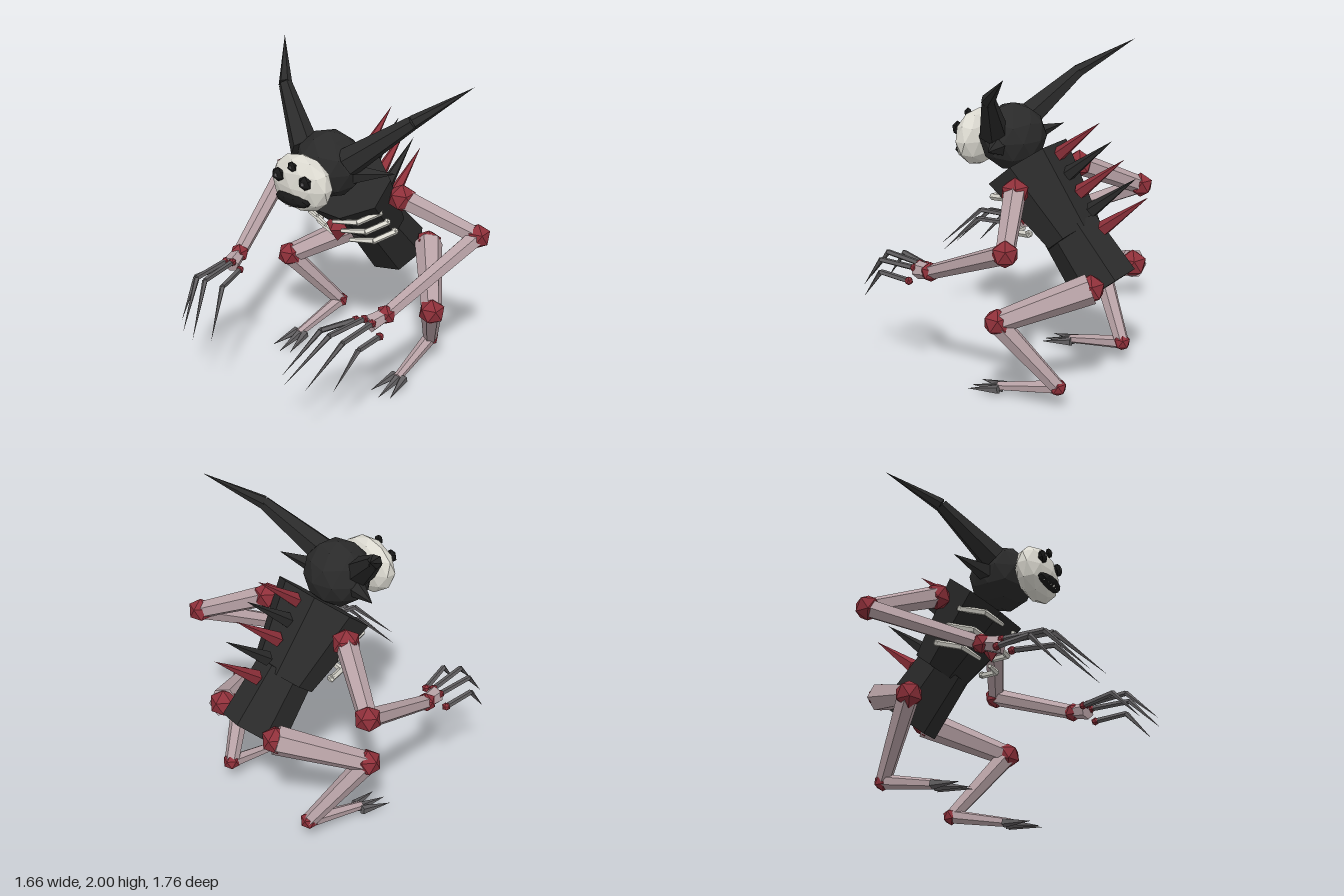
import * as THREE from 'three';

const mat = (name, color) => {
  const m = new THREE.MeshStandardMaterial({ color, flatShading: true });
  m.name = name;
  return m;
};
const V = (p) => new THREE.Vector3(...p);

export function createModel() {
  const black = mat('black hide', 0x2a2a2a);
  const dark = mat('eye black', 0x181818);
  const red = mat('red joint', 0x8f303a);
  const pink = mat('pale limb', 0xb8a2a6);
  const bone = mat('bone', 0xdbd9d0);
  const claw = mat('claw grey', 0x605e60);

  const model = new THREE.Group();
  model.name = 'creature';

  const add = (parent, name, geo, material) => {
    const m = new THREE.Mesh(geo, material);
    m.name = name;
    parent.add(m);
    return m;
  };

  // Tapered segment running from a to b
  const limb = (parent, name, a, b, ra, rb, material, sides = 6) => {
    const A = V(a), B = V(b), d = B.clone().sub(A);
    const m = add(parent, name, new THREE.CylinderGeometry(rb, ra, d.length(), sides), material);
    m.position.copy(A).add(B).multiplyScalar(0.5);
    m.quaternion.setFromUnitVectors(new THREE.Vector3(0, 1, 0), d.normalize());
    return m;
  };

  // Faceted ball with one corner pointing up
  const ball = (parent, name, p, r, material, detail = 0, scale = [1, 1, 1]) => {
    const geo = new THREE.IcosahedronGeometry(r, detail).rotateZ(0.5536);
    const m = add(parent, name, geo, material);
    m.position.set(...p);
    m.scale.set(...scale);
    return m;
  };

  // Torso leans forward; local -y runs down the spine
  const torso = new THREE.Group();
  torso.name = 'torso';
  torso.position.set(0, 1.33, -0.07);
  torso.rotation.x = THREE.MathUtils.degToRad(40);
  model.add(torso);

  const chest = add(torso, 'chest',
    new THREE.CylinderGeometry(0.335, 0.22, 0.5, 8, 1, false, Math.PI / 8), black);
  chest.position.y = -0.25;
  chest.scale.z = 0.75;
  const abdomen = add(torso, 'abdomen',
    new THREE.CylinderGeometry(0.18, 0.205, 0.4, 7, 1, false, Math.PI / 2), black);
  abdomen.position.y = -0.665;

  // Row of back spikes, alternating colours
  for (let i = 0; i < 5; i++) {
    const y = -0.066 - 0.126 * i;
    limb(torso, 'backSpike', [0, y, -0.2], [0, y, -0.575], 0.046, 0, i % 2 ? black : red, 5);
  }

  // Heart between the ribs
  const heart = add(model, 'heart', new THREE.OctahedronGeometry(0.09), red);
  heart.position.set(0, 1.03, -0.03);
  heart.scale.set(0.95, 1.1, 0.75);

  // Head, mask and face
  const head = new THREE.Group();
  head.name = 'head';
  model.add(head);
  ball(head, 'skull', [0, 1.48, 0.045], 0.205, black, 1, [1.03, 1, 0.97]);
  ball(head, 'mask', [0, 1.445, 0.29], 0.2, bone, 1, [1.05, 0.88, 0.53]);
  ball(head, 'mouth', [0, 1.37, 0.37], 0.1, dark, 1, [1.25, 0.42, 0.5]);
  for (const [x, y, z, r] of [[0, 1.575, 0.375, 0.033], [-0.1, 1.502, 0.382, 0.045], [0.1, 1.502, 0.382, 0.045]]) {
    ball(head, 'eye', [x, y, z], r, dark, 0, [1, 1, 0.6]);
    ball(head, 'pupil', [x, y, z + r * 0.5], r * 0.3, claw, 0, [1, 1, 0.5]);
  }
  // Small teeth along the lower lip
  for (let i = -3; i <= 3; i++) {
    const x = i * 0.03, y = 1.335 + Math.abs(i) * 0.004;
    limb(head, 'tooth', [x, y, 0.4 - Math.abs(i) * 0.006], [x, y + 0.03, 0.415 - Math.abs(i) * 0.008], 0.009, 0, bone, 4);
  }

  for (const s of [1, -1]) {
    const side = new THREE.Group();
    side.name = s > 0 ? 'leftSide' : 'rightSide';
    model.add(side);
    const P = (x, y, z) => [s * x, y, z];

    // Bent horn and ear spike
    limb(side, 'hornBase', P(0.16, 1.54, 0.075), P(0.475, 1.81, -0.115), 0.09, 0.042, black, 6);
    limb(side, 'hornTip', P(0.475, 1.81, -0.115), P(0.705, 2.0, -0.375), 0.042, 0, black, 6);
    limb(side, 'earSpike', P(0.17, 1.455, 0.03), P(0.405, 1.49, -0.06), 0.06, 0, black, 5);

    // Ribs wrapping round the chest
    for (let i = 0; i < 3; i++) {
      const R = (x, y, z) => P(x, y - 0.095 * i, z - 0.08 * i);
      limb(side, 'ribOuter', R(0.28, 1.19, -0.1), R(0.21, 1.155, 0.05), 0.02, 0.02, bone, 5);
      limb(side, 'ribInner', R(0.215, 1.158, 0.045), R(0.06, 1.13, 0.085), 0.02, 0.013, bone, 5);
      ball(side, 'ribEnd', R(0.27, 1.19, -0.09), 0.024, bone);
    }

    // Arm
    const shoulder = P(0.35, 1.265, -0.207), elbow = P(0.757, 1.06, -0.418), wrist = P(0.578, 0.757, 0.235);
    const palm = P(0.545, 0.735, 0.35);
    ball(side, 'shoulder', shoulder, 0.088, red);
    limb(side, 'upperArm', shoulder, elbow, 0.068, 0.055, pink);
    ball(side, 'elbow', elbow, 0.08, red);
    limb(side, 'forearm', elbow, wrist, 0.058, 0.045, pink);
    ball(side, 'wrist', wrist, 0.062, red);
    limb(side, 'palm', wrist, palm, 0.042, 0.055, pink);

    // Fingers: knuckle, middle joint, tip
    const fingers = [
      [[0.63, 0.69, 0.36], [0.64, 0.705, 0.565], [0.598, 0.495, 0.74]],
      [[0.575, 0.755, 0.36], [0.57, 0.75, 0.62], [0.48, 0.505, 0.845]],
      [[0.52, 0.765, 0.36], [0.485, 0.77, 0.635], [0.36, 0.515, 0.885]],
      [[0.458, 0.735, 0.36], [0.385, 0.745, 0.59], [0.28, 0.505, 0.81]],
    ];
    for (const [k, m, t] of fingers) {
      ball(side, 'knuckle', P(...k), 0.027, red);
      limb(side, 'finger', P(...k), P(...m), 0.018, 0.017, claw, 5);
      limb(side, 'fingerClaw', P(...m), P(...t), 0.017, 0, claw, 5);
    }

    // Leg
    const hip = P(0.245, 0.74, -0.655), knee = P(0.575, 0.55, -0.237), ankle = P(0.378, 0.14, -0.525);
    const toeRoot = P(0.41, 0.05, -0.13);
    ball(side, 'hip', hip, 0.088, red);
    limb(side, 'thigh', hip, knee, 0.09, 0.064, pink);
    ball(side, 'knee', knee, 0.085, red);
    limb(side, 'shin', knee, ankle, 0.066, 0.046, pink);
    ball(side, 'ankle', ankle, 0.056, red);
    limb(side, 'foot', ankle, toeRoot, 0.044, 0.028, pink);

    // Toe claws
    for (const [dx, z, y] of [[-0.075, 0.05, 0.015], [0, 0.075, 0.002], [0.075, 0.05, 0.015]])
      limb(side, 'toeClaw', P(0.41 + dx * 0.45, 0.045, -0.15), P(0.41 + dx, y, z), 0.03, 0, claw, 5);
  }
  return model;
}
